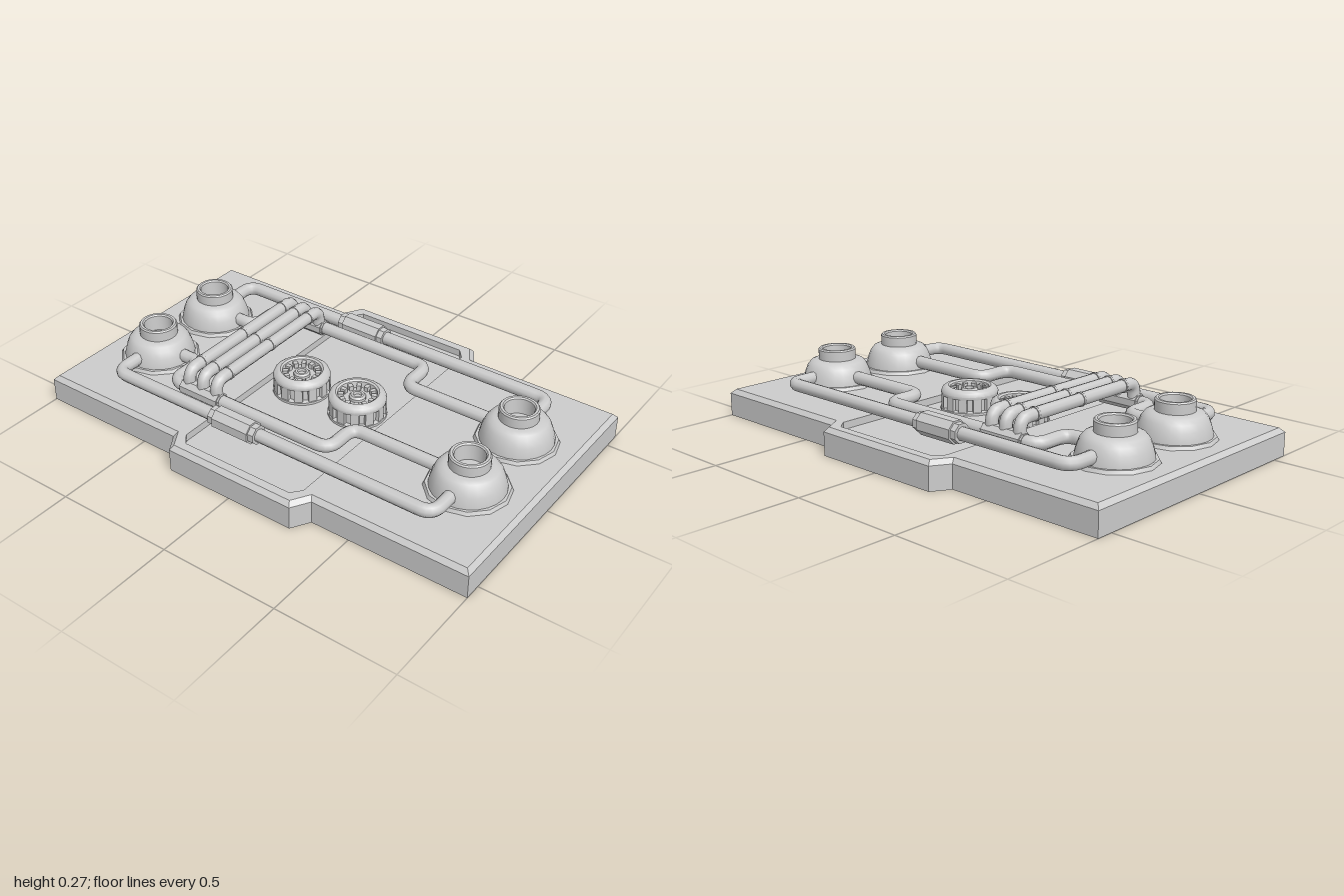
import * as THREE from 'three';
import { toCreasedNormals } from 'three/addons/utils/BufferGeometryUtils.js';

const material = new THREE.MeshStandardMaterial({ color: 0xcccccc });
const DECK = 0.115, FLOOR = 0.085, PIPE_Y = 0.158, PIPE_R = 0.027;

function add(parent, name, geometry, x = 0, y = 0, z = 0) {
  const mesh = new THREE.Mesh(geometry, material);
  mesh.name = name;
  mesh.position.set(x, y, z);
  parent.add(mesh);
  return mesh;
}

const creased = (geometry, angle = 0.6) => toCreasedNormals(geometry, angle);
const lathe = (profile, sides) =>
  creased(new THREE.LatheGeometry(profile.map(([r, y]) => new THREE.Vector2(r, y)), sides));

// Mirrors one quadrant (counter-clockwise, from +x towards +y) into a closed loop
function mirrorLoop(quadrant) {
  const back = [...quadrant].reverse();
  return [
    ...quadrant,
    ...back.map(([x, y]) => [-x, y]),
    ...quadrant.map(([x, y]) => [-x, -y]),
    ...back.map(([x, y]) => [x, -y]),
  ].map(([x, y]) => new THREE.Vector2(x, y));
}

// Flat-shaded wall from one loop to another
function wall(a, ya, b, yb) {
  const p = [];
  for (let i = 0; i < a.length; i++) {
    const j = (i + 1) % a.length;
    const a0 = [a[i].x, ya, -a[i].y], a1 = [a[j].x, ya, -a[j].y];
    const b0 = [b[i].x, yb, -b[i].y], b1 = [b[j].x, yb, -b[j].y];
    p.push(...a0, ...a1, ...b1, ...a0, ...b1, ...b0);
  }
  const g = new THREE.BufferGeometry();
  g.setAttribute('position', new THREE.Float32BufferAttribute(p, 3));
  g.computeVertexNormals();
  return g;
}

function flat(loop, hole, up = true) {
  const shape = new THREE.Shape(loop);
  if (hole) shape.holes.push(new THREE.Path(hole));
  return new THREE.ShapeGeometry(shape).rotateX(up ? -Math.PI / 2 : Math.PI / 2);
}

// Stepped slab with a chamfered top edge and a sunken centre panel
function buildBase() {
  const base = new THREE.Group();
  base.name = 'basePlate';
  const outline = (d) => mirrorLoop([
    [1 - d, 0.57 - d], [0.335 - 0.6 * d, 0.57 - d], [0.29 - 0.6 * d, 0.645 - d],
  ]);
  const outer = outline(0), inner = outline(0.018);
  const panel = mirrorLoop([[0.285, 0.55], [0.25, 0.592]]);
  add(base, 'baseSides', wall(outer, 0, outer, 0.097));
  add(base, 'baseChamfer', wall(outer, 0.097, inner, DECK));
  add(base, 'baseDeck', flat(inner, panel), 0, DECK);
  add(base, 'baseBottom', flat(outer, null, false));
  add(base, 'panelWalls', wall(panel, DECK, panel, FLOOR));
  add(base, 'panelFloor', flat(panel), 0, FLOOR);
  return base;
}

// Tube through points, with rounded corners
function pipe(points, bend = 0.055, radius = PIPE_R, segments = 120) {
  const pts = points.map((p) => new THREE.Vector3(...p));
  const path = new THREE.CurvePath();
  let from = pts[0];
  for (let i = 1; i < pts.length - 1; i++) {
    const c = pts[i];
    const start = c.clone().add(pts[i - 1].clone().sub(c).setLength(bend));
    const end = c.clone().add(pts[i + 1].clone().sub(c).setLength(bend));
    path.add(new THREE.LineCurve3(from, start));
    path.add(new THREE.QuadraticBezierCurve3(start, c, end));
    from = end;
  }
  path.add(new THREE.LineCurve3(from, pts[pts.length - 1]));
  return new THREE.TubeGeometry(path, segments, radius, 10);
}

// Domed port with a hollow neck on a faceted flange
function buildPort(x, z) {
  const port = new THREE.Group();
  port.name = 'port';
  port.position.set(x, 0, z);
  add(port, 'portFlange', creased(new THREE.CylinderGeometry(0.16, 0.168, 0.016, 12)), 0, DECK + 0.006);
  add(port, 'portDome', lathe([
    [0.148, 0.12], [0.146, 0.14], [0.138, 0.17], [0.127, 0.197], [0.113, 0.214], [0.095, 0.221],
    [0.079, 0.223], [0.079, 0.264], [0.074, 0.27], [0.064, 0.27], [0.059, 0.264], [0.056, 0.2], [0, 0.2],
  ], 24));
  return port;
}

// Round knob with side lugs, a rounded rim and a toothed hollow with a hub
function buildKnob(x) {
  const knob = new THREE.Group();
  knob.name = 'knob';
  knob.position.set(x, FLOOR, 0);
  add(knob, 'knobBody', lathe([
    [0.12, 0], [0.12, 0.01], [0.103, 0.014], [0.103, 0.062], [0.116, 0.064], [0.118, 0.076],
    [0.112, 0.09], [0.1, 0.099], [0.088, 0.1], [0.08, 0.094], [0.076, 0.068], [0, 0.068],
  ], 24));
  add(knob, 'knobHub', lathe([
    [0.034, 0.066], [0.034, 0.08], [0.027, 0.088], [0.018, 0.088], [0.016, 0.076], [0, 0.076],
  ], 14));
  for (let i = 0; i < 12; i++) {
    const a = (i / 12) * Math.PI * 2;
    const lug = add(knob, 'knobLug', new THREE.BoxGeometry(0.016, 0.054, 0.034),
      Math.cos(a) * 0.107, 0.037, -Math.sin(a) * 0.107);
    const tooth = add(knob, 'knobTooth', new THREE.BoxGeometry(0.024, 0.022, 0.018),
      Math.cos(a) * 0.068, 0.077, -Math.sin(a) * 0.068);
    lug.rotation.y = tooth.rotation.y = a;
  }
  return knob;
}

// Octagonal coupling along x, with a thicker middle
function sleeve(parent, name, x, z, length, radius, step) {
  const h = length / 2, inner = h - step, r = radius * 0.84;
  const g = lathe([[0, -h], [r, -h], [r, -inner], [radius, -inner],
    [radius, inner], [r, inner], [r, h], [0, h]], 8);
  g.rotateY(Math.PI / 8).rotateZ(Math.PI / 2);
  add(parent, name, g, x, PIPE_Y, z);
}

export function createModel() {
  const model = new THREE.Group();
  model.name = 'pipeworkPanel';
  model.add(buildBase());

  for (const s of [-1, 1]) {
    for (const x of [-0.758, 0.758]) model.add(buildPort(x, s * 0.18));

    // Outer pipe with its coupling
    add(model, 'outerPipe', pipe([
      [-0.76, PIPE_Y, s * 0.25], [-0.76, PIPE_Y, s * 0.43],
      [0.76, PIPE_Y, s * 0.43], [0.76, PIPE_Y, s * 0.25],
    ]));
    sleeve(model, 'outerPipeSleeve', -0.133, s * 0.43, 0.226, 0.048, 0.026);

    // Inner stepped pipe
    add(model, 'innerPipe', pipe([
      [-0.68, PIPE_Y, s * 0.18], [-0.535, PIPE_Y, s * 0.18], [-0.535, PIPE_Y, s * 0.342],
      [0.243, PIPE_Y, s * 0.342], [0.243, PIPE_Y, s * 0.182], [0.68, PIPE_Y, s * 0.182],
    ]));
    sleeve(model, 'innerPipeSleeve', -0.378, s * 0.342, 0.205, 0.036, 0.008);
  }

  // Raised bridge pipes joining the two inner pipes
  for (const x of [-0.448, -0.378, -0.308]) {
    add(model, 'bridgePipe', pipe([
      [x, PIPE_Y, 0.337], [x, 0.238, 0.337], [x, 0.238, -0.337], [x, PIPE_Y, -0.337],
    ], 0.045, 0.026, 60));
    for (const z of [-0.26, 0, 0.26]) {
      add(model, 'bridgeCollar', creased(new THREE.CylinderGeometry(0.029, 0.029, 0.01, 12))
        .rotateX(Math.PI / 2), x, 0.238, z);
    }
  }

  for (const x of [-0.142, 0.136]) model.add(buildKnob(x));
  return model;
}
